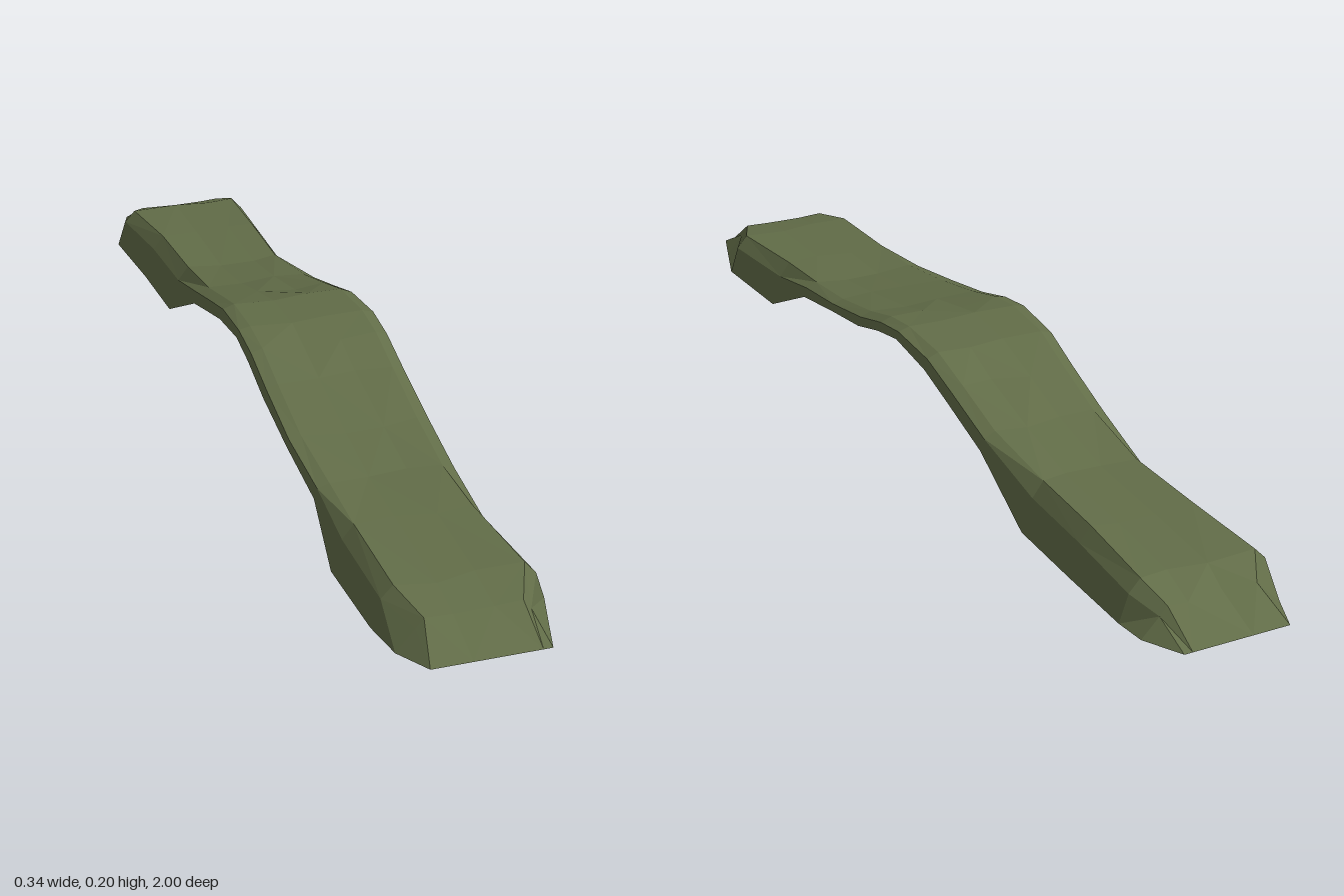
import * as THREE from 'three';

// Each section: z, hem y, top y, right hem x (-x side), left hem x (+x side)
const SECTIONS = [
  [0.93, 0.01, 0.072, -0.137, 0.142],
  [0.84, 0.008, 0.088, -0.15, 0.17],
  [0.64, 0.005, 0.096, -0.155, 0.152],
  [0.5, 0.075, 0.104, -0.142, 0.135],
  [0.35, 0.105, 0.126, -0.147, 0.138],
  [0.2, 0.133, 0.16, -0.147, 0.143],
  [0.1, 0.163, 0.189, -0.147, 0.143],
  [0.02, 0.178, 0.2, -0.147, 0.141],
  [-0.1, 0.163, 0.194, -0.147, 0.138],
  [-0.2, 0.132, 0.165, -0.142, 0.135],
  [-0.33, 0.093, 0.128, -0.138, 0.133],
  [-0.5, 0.005, 0.102, -0.149, 0.134],
  [-0.68, 0.006, 0.1, -0.157, 0.135],
  [-0.86, 0.01, 0.09, -0.174, 0.136],
  [-0.925, 0.012, 0.066, -0.148, 0.13],
];

// Cross-section from the right hem over the top to the left hem
function section([z, hem, top, xr, xl], i) {
  const h = top - hem;
  const flare = 0.22 * h;
  const endRow = i === 0 || i === SECTIONS.length - 1;
  const inset = endRow ? 0.05 : 0.024 + 0.2 * h;
  const shoulder = hem + h * 0.68;
  const dip = 0.004 + 0.002 * Math.sin(i * 2.3);
  const shoulderIn = endRow ? 0.035 : flare;
  return [
    [xr, hem, z],
    [xr + shoulderIn, shoulder, z],
    [xr + inset, top - 0.002, z],
    [-0.035, top - dip, z + 0.012 * Math.sin(i * 1.9)],
    [0.04, top - dip * 0.6, z - 0.012 * Math.sin(i * 2.7)],
    [xl - inset, top, z],
    [xl - shoulderIn, shoulder, z],
    [xl, hem, z],
  ];
}

// Straight bottom edge at either end of the strip
function endRow(z, x0, x1) {
  const t = [0, 0, 0.08, 0.35, 0.65, 0.92, 1, 1];
  return t.map((k) => [x0 + (x1 - x0) * k, 0.014, z]);
}

function loft(rows) {
  const n = rows[0].length;
  const index = [];
  for (let r = 0; r < rows.length - 1; r++) {
    for (let c = 0; c < n - 1; c++) {
      const a = r * n + c, b = a + 1, d = a + n, e = d + 1;
      if ((r + c) % 2) index.push(a, b, e, a, e, d);
      else index.push(a, b, d, b, e, d);
    }
  }
  const geometry = new THREE.BufferGeometry();
  geometry.setAttribute('position', new THREE.Float32BufferAttribute(rows.flat(2), 3));
  geometry.setIndex(index);
  geometry.computeVertexNormals();
  return geometry;
}

export function createModel() {
  const group = new THREE.Group();
  group.name = 'drapedStrip';

  const olive = new THREE.MeshStandardMaterial({ color: 0x626d48, flatShading: true, side: THREE.DoubleSide });
  olive.name = 'olive green';

  // Open shell, hollow below, with flared skirts and sloped ends
  const rows = [endRow(1, -0.1, 0.12), ...SECTIONS.map(section), endRow(-1, -0.12, 0.09)];
  const shell = new THREE.Mesh(loft(rows), olive);
  shell.name = 'archedShell';
  group.add(shell);

  // Rest the lowest hem on the ground
  group.position.y = -0.005;
  return group;
}
